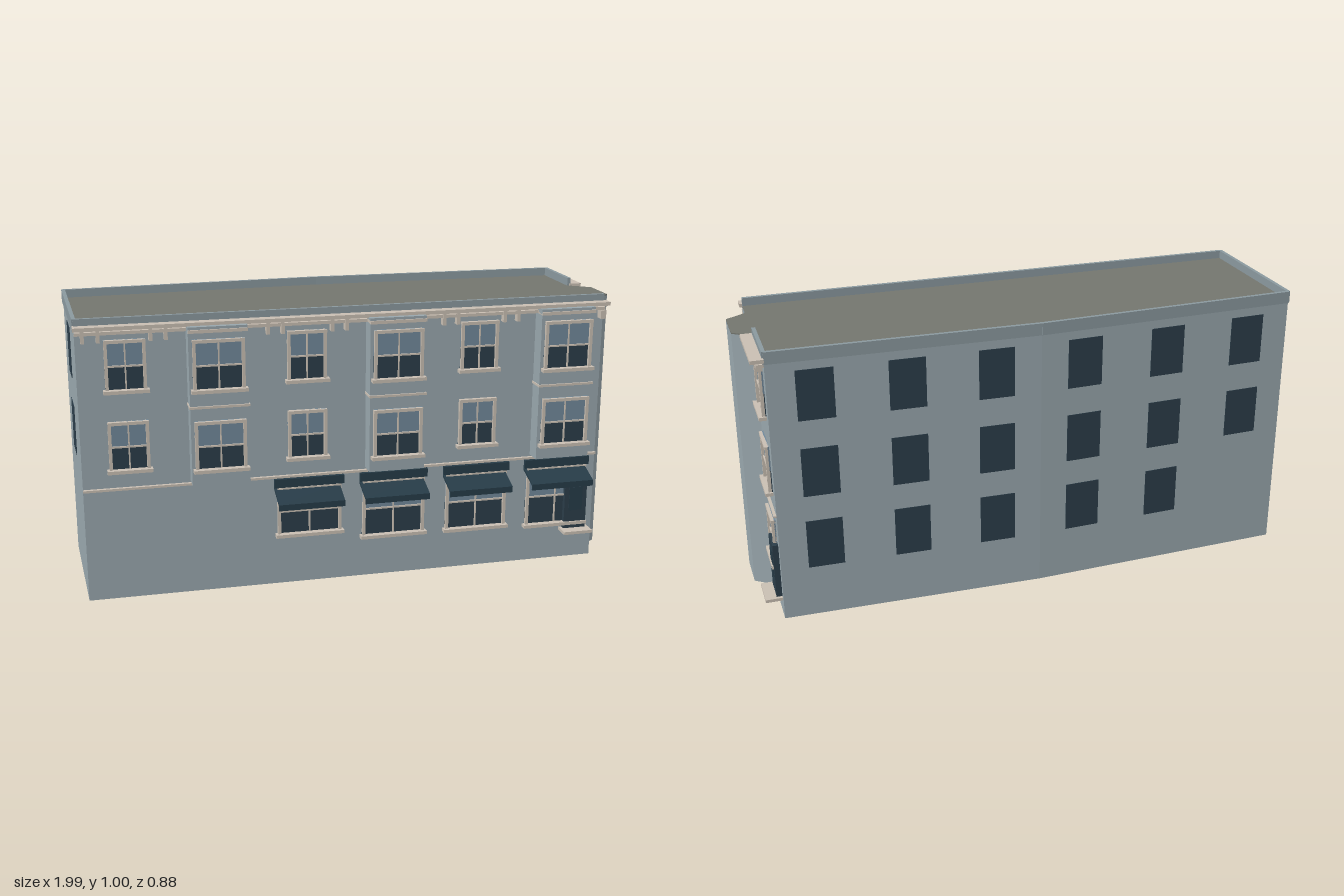
import * as THREE from 'three';

const mat = (color) => new THREE.MeshStandardMaterial({ color, flatShading: true });

export function createModel() {
  const model = new THREE.Group();
  const wall = mat(0x98a6ac), trim = mat(0xc8beb2), roof = mat(0x73756e);
  const dark = mat(0x2b3d49), pale = mat(0x70889a), awningMat = mat(0x263b47), shade = mat(0x8a989e);

  // Footprint corners as [x, z]
  const FL = [-0.9, 0.395], FR = [0.945, 0.12], BR = [0.865, -0.42], BM = [-0.06, -0.3], BL = [-0.992, -0.12];
  const bayA = [0.933, 0.04], bayB = [0.997, -0.015], bayC = [0.975, -0.15], bayD = [0.9, -0.19];
  const outline = [FL, FR, bayA, bayB, bayC, bayD, BR, BM, BL];

  // Footprint slab between two heights
  const slab = (name, y0, y1, material) => {
    const shape = new THREE.Shape(outline.map(([x, z]) => new THREE.Vector2(x, -z)));
    const g = new THREE.ExtrudeGeometry(shape, { depth: y1 - y0, bevelEnabled: false });
    g.rotateX(-Math.PI / 2);
    g.translate(0, y0, 0);
    const m = new THREE.Mesh(g, material);
    m.name = name;
    model.add(m);
  };
  slab('walls', 0, 0.967, wall);
  slab('roof', 0.967, 0.971, roof);

  // Wall frame: local x runs from a to b, local z points outward
  const facade = (name, a, b) => {
    const g = new THREE.Group();
    g.name = name;
    g.position.set(a[0], 0, a[1]);
    g.rotation.y = Math.atan2(a[1] - b[1], b[0] - a[0]);
    g.userData.length = Math.hypot(b[0] - a[0], b[1] - a[1]);
    model.add(g);
    return g;
  };
  // Box given by its ranges in a wall frame
  const box = (parent, name, x0, x1, y0, y1, z0, z1, material) => {
    const m = new THREE.Mesh(new THREE.BoxGeometry(x1 - x0, y1 - y0, z1 - z0), material);
    m.position.set((x0 + x1) / 2, (y0 + y1) / 2, (z0 + z1) / 2);
    m.name = name;
    parent.add(m);
    return m;
  };
  const parapet = (f, x0 = 0, x1 = f.userData.length) =>
    box(f, 'parapet', x0, x1, 0.957, 1, -0.008, 0.005, shade);

  // Sash window with frame, sill, lintel, rail and mullion
  const sashWindow = (parent, cx, w, y0, y1, z) => {
    const g = new THREE.Group();
    g.name = 'sashWindow';
    g.position.set(cx, 0, z);
    parent.add(g);
    const h = w / 2, t = 0.011, mid = (y0 + y1) / 2;
    box(g, 'lowerPane', -h, h, y0, mid, 0, 0.003, dark);
    box(g, 'upperPane', -h, h, mid, y1, 0, 0.005, pale);
    for (const s of [-1, 1]) {
      const x = s * (h - t / 2);
      box(g, 'jamb', x - t / 2, x + t / 2, y0, y1, 0, 0.014, trim);
    }
    box(g, 'lintel', -h, h, y1 - t, y1, 0, 0.016, trim);
    box(g, 'sill', -h - 0.008, h + 0.008, y0 - 0.002, y0 + 0.01, 0, 0.026, trim);
    box(g, 'meetingRail', -h + t, h - t, mid - 0.003, mid + 0.003, 0, 0.01, trim);
    box(g, 'mullion', -0.0025, 0.0025, y0 + t, y1 - t, 0, 0.009, trim);
  };
  const floors = [[0.465, 0.643], [0.745, 0.925]];

  // Street front
  const front = facade('streetFront', FL, FR);
  const L = front.userData.length;
  const u = (x, out = 0) => (x + 0.9 - out * 0.147) / 0.989;
  parapet(front);
  box(front, 'cornice', -0.005, L + 0.01, 0.964, 0.977, 0, 0.04, trim);
  box(front, 'corniceMoulding', 0, L, 0.946, 0.957, 0, 0.022, trim);
  box(front, 'stringCourse', 0, L, 0.4, 0.408, 0, 0.012, trim);
  for (const x of [-0.74, -0.13, 0.485]) {
    for (const [y0, y1] of floors) sashWindow(front, u(x), 0.138, y0, y1, 0);
    for (const d of [-0.135, -0.085, 0.085, 0.135])
      box(front, 'bracket', u(x + d) - 0.006, u(x + d) + 0.006, 0.92, 0.964, 0, 0.025, trim);
  }
  box(front, 'cornerBracket', L - 0.02, L, 0.915, 0.946, 0, 0.03, trim);

  // Shallow square bays with stacked windows
  const out = 0.06;
  for (const x of [-0.43, 0.185, 0.8]) {
    const c = u(x, out);
    box(front, 'bay', c - 0.1, c + 0.1, 0.415, 0.966, -0.01, out, wall);
    box(front, 'bayBand', c - 0.103, c + 0.103, 0.686, 0.694, 0, out + 0.006, trim);
    box(front, 'bayCornice', c - 0.1, c + 0.1, 0.946, 0.957, 0, out + 0.006, trim);
    for (const [y0, y1] of floors) sashWindow(front, c, 0.176, y0, y1, out);
  }

  // Shop windows, each with a fascia and a sloping awning
  const profile = [[0, 0.365], [0.092, 0.33], [0.092, 0.308], [0.087, 0.308], [0.087, 0.325], [0, 0.356]];
  const shops = [[-0.125, 0.182], [0.18, 0.15], [0.488, 0.147], [0.795, 0.136]];
  for (const [x, y0] of shops) {
    sashWindow(front, u(x), 0.23, y0, 0.365, 0);
    box(front, 'fascia', u(x) - 0.125, u(x) + 0.125, 0.365, 0.396, 0, 0.014, awningMat);
    const shape = new THREE.Shape(profile.map(([z, y]) => new THREE.Vector2(z, y)));
    const g = new THREE.ExtrudeGeometry(shape, { depth: 0.235, bevelEnabled: false });
    g.translate(0, 0, -0.1175);
    g.rotateY(-Math.PI / 2);
    const awning = new THREE.Mesh(g, awningMat);
    awning.name = 'awning';
    awning.position.x = u(x, 0.05);
    front.add(awning);
  }

  // Door with a panel and a doorstep
  const door = (f, c, w, y0, y1) => {
    box(f, 'door', c - w / 2, c + w / 2, y0, y1, 0, 0.02, dark);
    box(f, 'doorPanel', c - w * 0.3, c + w * 0.3, y0 + 0.07, y1 - 0.03, 0.02, 0.022, awningMat);
    box(f, 'doorstep', c - w / 2 - 0.012, c + w / 2 + 0.012, y0 - 0.011, y0, 0, 0.06, trim);
  };
  door(front, u(0.872), 0.086, 0.12, 0.31);

  // Right end beyond the corner bay
  const end = facade('rightEnd', bayD, BR);
  const E = end.userData.length;
  parapet(end);
  box(end, 'cornice', -0.005, E + 0.015, 0.966, 0.979, 0, 0.045, trim);
  box(end, 'corniceMoulding', 0, E, 0.945, 0.957, 0, 0.025, trim);
  box(end, 'stringCourse', 0, E, 0.4, 0.406, 0, 0.01, trim);
  for (const d of [0.055, 0.118, 0.188]) box(end, 'bracket', d - 0.006, d + 0.006, 0.918, 0.966, 0, 0.025, trim);
  for (const [y0, y1] of [[0.182, 0.365], ...floors]) sashWindow(end, 0.118, 0.134, y0, y1, 0);
  door(end, 0.158, 0.094, 0.075, 0.278);

  // Rear walls: plain dark openings, with the last lower one left out
  const opening = (f, c, y0, y1) => box(f, 'plainWindow', c - 0.063, c + 0.063, y0, y1, -0.005, 0.002, dark);
  [[BR, BM], [BM, BL]].forEach(([a, b], half) => {
    const f = facade('rearWall', a, b);
    parapet(f);
    [0.17, 0.5, 0.83].forEach((t, i) => {
      const c = t * f.userData.length;
      for (const [y0, y1] of floors) opening(f, c, y0, y1);
      if (half === 0 || i < 2) opening(f, c, 0.19, 0.37);
    });
  });

  // Left end
  const left = facade('leftEnd', BL, FL);
  parapet(left);
  for (const [y0, y1] of floors) opening(left, left.userData.length * 0.46, y0, y1);

  return model;
}
